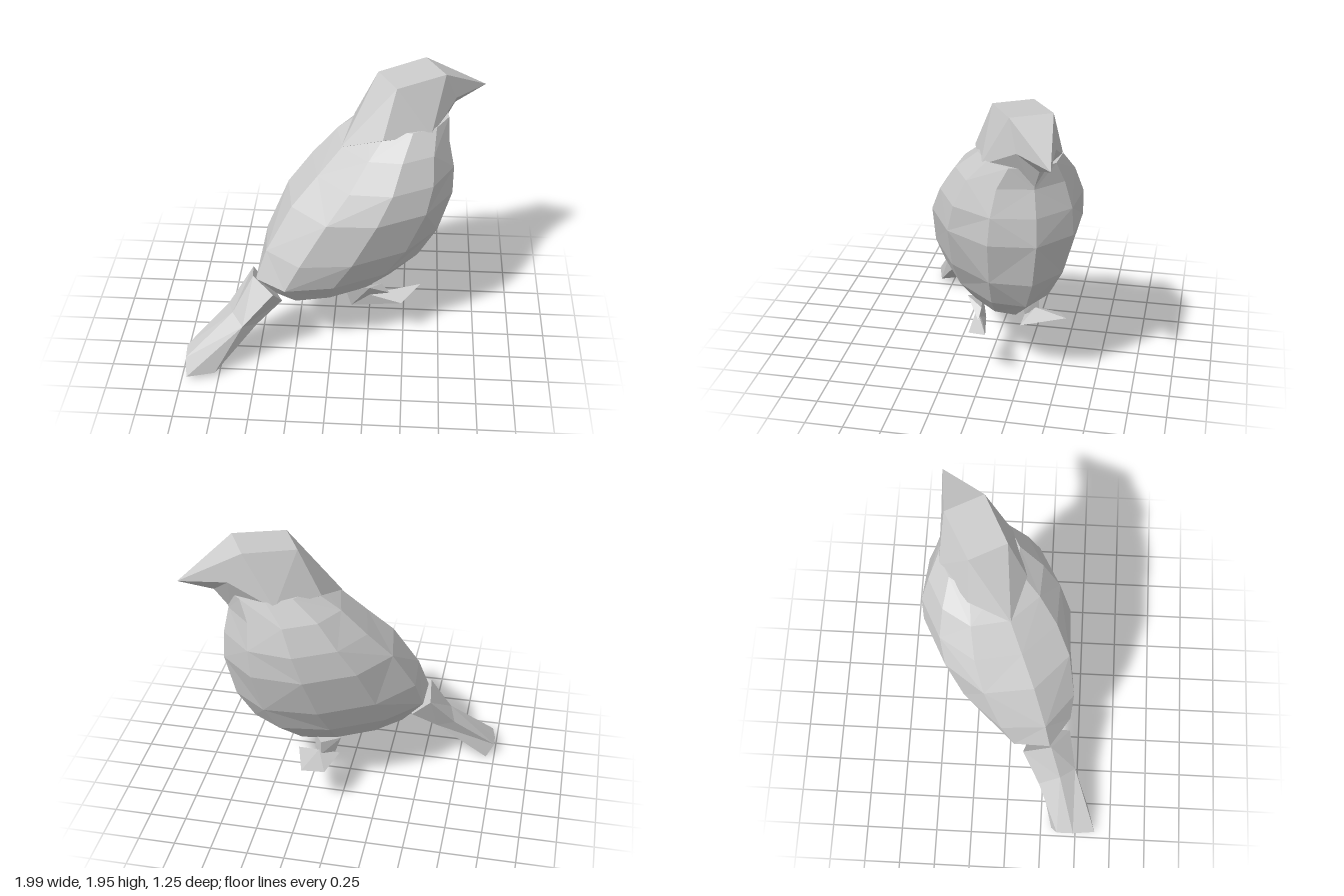
import * as THREE from 'three';
import { ConvexGeometry } from 'three/addons/geometries/ConvexGeometry.js';

const material = new THREE.MeshStandardMaterial({ color: 0xcccccc, flatShading: true, side: THREE.DoubleSide });

function part(name, geometry) {
  const mesh = new THREE.Mesh(geometry, material);
  mesh.name = name;
  return mesh;
}

// Faceted skin over a list of rings, closed at both ends
function loft(rings) {
  const out = [];
  const tri = (a, b, c) => out.push(...a, ...b, ...c);
  const n = rings[0].length;
  for (let i = 0; i < rings.length - 1; i++) {
    const lo = rings[i], hi = rings[i + 1];
    for (let j = 0; j < n; j++) {
      const k = (j + 1) % n;
      if ((i + j) % 2) { tri(lo[j], hi[j], lo[k]); tri(lo[k], hi[j], hi[k]); }
      else { tri(lo[j], hi[j], hi[k]); tri(lo[j], hi[k], lo[k]); }
    }
  }
  const first = rings[0], last = rings[rings.length - 1];
  for (let j = 1; j < n - 1; j++) {
    tri(first[0], first[j], first[j + 1]);
    tri(last[0], last[j + 1], last[j]);
  }
  const geometry = new THREE.BufferGeometry();
  geometry.setAttribute('position', new THREE.Float32BufferAttribute(out, 3));
  geometry.computeVertexNormals();
  return geometry;
}

// Convex faceted solid through a few corner points
const hull = (points) => new ConvexGeometry(points.map((p) => new THREE.Vector3(...p)));

// Points given once and repeated on the other side
const mirrored = (points) => points.flatMap(([x, y, z]) => [[x, y, z], [x, y, -z]]);

// Horizontal body ring, fuller towards the back where the wings fold
function bodyRing([y, back, front, halfWidth]) {
  const ring = [];
  const sides = 10;
  for (let j = 0; j < sides; j++) {
    const t = (j / sides) * Math.PI * 2;
    const c = Math.cos(t), s = Math.sin(t);
    const power = c < 0 ? 0.8 : 1;
    ring.push([
      (front + back) / 2 + ((front - back) / 2) * c,
      y,
      Math.sign(s) * Math.abs(s) ** power * halfWidth,
    ]);
  }
  return ring;
}

export function createModel() {
  const model = new THREE.Group();
  model.name = 'bird';

  // The bird looks along +x of this group, which is turned away from the front
  const bird = new THREE.Group();
  bird.name = 'birdBody';
  bird.rotation.y = THREE.MathUtils.degToRad(28);
  bird.position.set(0.005, 0, 0.01);
  model.add(bird);

  // Body: y, back, front, half width
  bird.add(part('body', loft([
    [0.405, -0.10, 0.22, 0.07],
    [0.45, -0.43, 0.46, 0.20],
    [0.62, -0.58, 0.67, 0.33],
    [0.83, -0.50, 0.79, 0.42],
    [1.13, -0.31, 0.86, 0.48],
    [1.32, -0.12, 0.85, 0.455],
    [1.5, 0.06, 0.81, 0.375],
    [1.64, 0.25, 0.82, 0.26],
  ].map(bodyRing))));

  // Head and nape
  const crown = mirrored([[0.735, 1.95, 0.14]]);
  const cheeks = mirrored([[0.83, 1.755, 0.125]]);
  const throat = [0.895, 1.65, 0];
  bird.add(part('head', hull([
    ...crown, ...cheeks, throat,
    ...mirrored([[0.38, 1.92, 0.135], [0.25, 1.61, 0.21], [0.57, 1.6, 0.27]]),
    [0.05, 1.5, 0], [0.8, 1.5, 0],
  ])));

  // Beak
  bird.add(part('beak', hull([...crown, ...cheeks, throat, [1.12, 1.74, 0.01]])));

  // Tail: ridge, side, underside, underside, side
  bird.add(part('tail', loft([
    [[-0.6, 0.65, 0], [-0.53, 0.59, 0.18], [-0.43, 0.45, 0.09], [-0.43, 0.45, -0.09], [-0.53, 0.59, -0.18]],
    [[-0.76, 0.39, 0], [-0.74, 0.35, 0.13], [-0.62, 0.32, 0.1], [-0.62, 0.32, -0.1], [-0.73, 0.36, -0.15]],
    [[-1.1, 0.07, -0.05], [-1.15, 0.03, 0.1], [-0.96, 0.03, 0.14], [-0.985, 0.0, -0.165], [-1.05, 0.09, -0.155]],
  ])));

  // Right leg and foot
  const rightLeg = new THREE.Group();
  rightLeg.name = 'rightLeg';
  rightLeg.add(
    part('rightShank', hull([[0.26, 0.48, 0.15], [0.09, 0.41, 0.08], [0.13, 0.25, 0.05], [0.34, 0.44, 0.04], [0.4, 0.37, 0.05]])),
    part('rightToes', hull([[0.13, 0.25, 0.05], [0.48, 0.32, 0.1], [0.61, 0.39, -0.04], [0.4, 0.37, 0.02], [0.25, 0.38, 0.09]])),
  );

  // Left leg and foot
  const leftLeg = new THREE.Group();
  leftLeg.name = 'leftLeg';
  leftLeg.add(
    part('leftShank', hull([[0.02, 0.45, -0.23], [0.14, 0.46, -0.32], [0.2, 0.45, -0.22], [0.06, 0.33, -0.24], [0.2, 0.34, -0.23], [0.14, 0.36, -0.32]])),
    part('leftToes', hull([[0.03, 0.32, -0.23], [0.32, 0.32, -0.22], [0.09, 0.32, -0.46], [0.235, 0.36, -0.52], [0.16, 0.38, -0.3]])),
  );
  model.add(rightLeg, leftLeg);

  return model;
}
